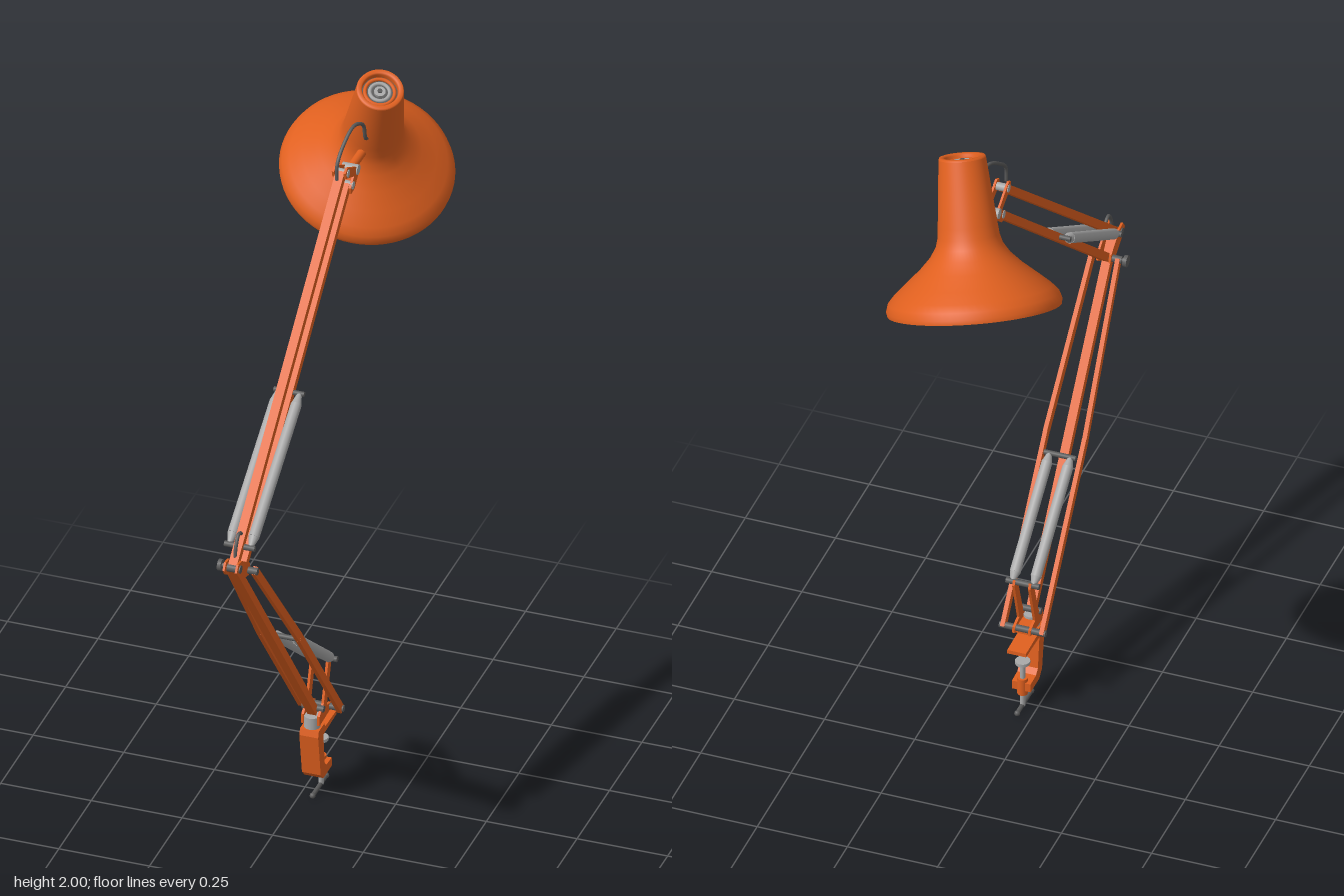
import * as THREE from 'three';

const V = (x, y, z) => new THREE.Vector3(x, y, z);

export function createModel() {
  const root = new THREE.Group();
  root.name = 'deskLamp';
  const mat = (name, color, side = THREE.FrontSide) => {
    const m = new THREE.MeshStandardMaterial({ color, side });
    m.name = name;
    return m;
  };
  const orange = mat('orangePaint', 0xe0601f);
  const shell = mat('orangeShade', 0xe0601f, THREE.DoubleSide);
  const lining = mat('paleLining', 0xc8c8c8, THREE.DoubleSide);
  const steel = mat('steel', 0xa9a9a9);
  const dark = mat('darkMetal', 0x5a5a5a);

  // Everything on the arm lies around the plane x = 0.037
  const stand = new THREE.Group();
  stand.name = 'stand';
  stand.position.x = 0.037;
  root.add(stand);

  const add = (name, geo, m, parent = stand) => {
    const mesh = new THREE.Mesh(geo, m);
    mesh.name = name;
    parent.add(mesh);
    return mesh;
  };
  // Square bar between two points
  const bar = (name, a, b, w, h, m = orange) => {
    const mesh = add(name, new THREE.BoxGeometry(w, h, a.distanceTo(b)), m);
    mesh.position.copy(a).lerp(b, 0.5);
    mesh.quaternion.setFromRotationMatrix(
      new THREE.Matrix4().lookAt(b, a, V(0, 1, 0)));
    return mesh;
  };
  // Round rod between two points
  const rod = (name, a, b, r, m = steel, r2 = r) => {
    const mesh = add(name, new THREE.CylinderGeometry(r2, r, a.distanceTo(b), 16), m);
    mesh.position.copy(a).lerp(b, 0.5);
    mesh.quaternion.setFromUnitVectors(V(0, 1, 0), b.clone().sub(a).normalize());
    return mesh;
  };
  // Pin running across the arm
  const pin = (name, y, z, half, r, m = steel) =>
    rod(name, V(-half, y, z), V(half, y, z), r, m);
  // Plate with its outline given as [z, y], extruded across x
  const plate = (name, pts, width, x = 0, m = orange) => {
    const s = new THREE.Shape(pts.map(p => new THREE.Vector2(p[0], p[1])));
    const g = new THREE.ExtrudeGeometry(s, { depth: width, bevelEnabled: false });
    g.translate(0, 0, -width / 2);
    g.rotateY(-Math.PI / 2);
    g.translate(x, 0, 0);
    return add(name, g, m);
  };
  const wire = (name, pts, r, m = dark) => add(name,
    new THREE.TubeGeometry(new THREE.CatmullRomCurve3(pts), 32, r, 8), m);

  // Table clamp
  plate('clampBody', [
    [0.075, 0.21], [0.055, 0.085], [0.035, 0.065], [-0.03, 0.065], [-0.03, 0.09],
    [0.01, 0.092], [0.024, 0.105], [0.035, 0.198], [-0.065, 0.202], [-0.065, 0.213],
    [0.02, 0.215], [0.028, 0.228], [0.07, 0.228]], 0.052);
  rod('clampScrew', V(0, 0.01, -0.02), V(0, 0.15, -0.02), 0.007);
  rod('clampPad', V(0, 0.146, -0.02), V(0, 0.155, -0.02), 0.02);
  rod('clampNut', V(0, 0.05, -0.02), V(0, 0.1, -0.02), 0.014, orange);
  rod('clampHandle', V(0, 0.012, 0.045), V(0, 0.012, -0.06), 0.006, dark);
  for (const z of [0.045, -0.06])
    add('handleKnob', new THREE.SphereGeometry(0.008, 12, 8), dark).position.set(0, 0.012, z);

  // Swivel collar and base bracket
  rod('swivelCollar', V(0, 0.222, 0.048), V(0, 0.262, 0.048), 0.022);
  for (const s of [-1, 1]) {
    plate('baseBracket', [
      [0.062, 0.24], [0.062, 0.268], [0.03, 0.29], [-0.008, 0.405], [-0.024, 0.41],
      [-0.03, 0.396], [0.006, 0.272], [-0.028, 0.262], [-0.03, 0.245]], 0.007, s * 0.022);
  }
  plate('bracketBase', [[0.06, 0.242], [0.06, 0.254], [-0.025, 0.256], [-0.025, 0.244]], 0.044);
  pin('basePin', 0.255, -0.018, 0.064, 0.009, dark);
  pin('innerBasePin', 0.28, 0.04, 0.03, 0.009, dark);
  pin('lowerSpringPin', 0.402, -0.018, 0.046, 0.008, dark);

  // Lower arm: one centre bar and two bowed outer bars
  bar('lowerCentreBar', V(0, 0.27, 0.042), V(0, 1.07, 0.655), 0.024, 0.022);
  for (const s of [-1, 1]) {
    const foot = V(s * 0.054, 0.25, -0.02);
    const bend = V(s * 0.054, 0.66, 0.301);
    const head = V(s * 0.036, 1.035, 0.595);
    bar('lowerOuterBar', foot, bend, 0.012, 0.023);
    bar('lowerOuterBar', bend, head, 0.012, 0.023);
  }

  // Elbow
  for (const s of [-1, 1])
    plate('elbowPlate', [
      [0.685, 1.075], [0.672, 1.094], [0.645, 1.09], [0.585, 1.05],
      [0.578, 1.028], [0.592, 1.016], [0.612, 1.022], [0.67, 1.056]], 0.006, s * 0.017);
  pin('elbowPin', 1.073, 0.66, 0.023, 0.011, dark);
  pin('elbowLowerPin', 1.033, 0.595, 0.046, 0.01, dark);
  rod('elbowKnobStem', V(-0.04, 1.033, 0.595), V(-0.056, 1.033, 0.595), 0.006, dark);
  rod('elbowKnob', V(-0.052, 1.033, 0.595), V(-0.062, 1.033, 0.595), 0.016, dark);
  wire('elbowCable', [V(0, 1.08, 0.645), V(0, 1.125, 0.635), V(0, 1.15, 0.615),
    V(0, 1.14, 0.595), V(0, 1.11, 0.59)], 0.005);

  // Upper arm
  bar('upperTopBar', V(0, 1.075, 0.655), V(0, 1.793, -0.175), 0.024, 0.022);
  bar('upperBottomBar', V(0, 1.03, 0.597), V(0, 1.735, -0.212), 0.024, 0.022);

  // Paired springs with hooks, held by cross pins
  const springs = (name, a, b) => {
    for (const s of [-1, 1]) {
      const p = a.clone().setX(s * 0.029), q = b.clone().setX(s * 0.029);
      const at = t => p.clone().lerp(q, t);
      rod(name, at(0.07), at(0.93), 0.0145);
      rod(name + 'Hook', p, at(0.075), 0.006, steel, 0.0145);
      rod(name + 'Hook', at(0.925), q, 0.0145, steel, 0.006);
    }
  };
  springs('lowerSpring', V(0, 0.402, -0.018), V(0, 0.625, 0.258));
  springs('upperSpring', V(0, 1.108, 0.605), V(0, 1.357, 0.225));
  pin('lowerSpringTopPin', 0.625, 0.258, 0.044, 0.007, dark);
  pin('upperSpringLowPin', 1.108, 0.605, 0.042, 0.008, dark);
  pin('upperSpringTopPin', 1.357, 0.225, 0.042, 0.007, dark);

  // Head bracket joining both upper bars to the shade
  for (const s of [-1, 1])
    plate('headBracket', [
      [-0.155, 1.803], [-0.172, 1.812], [-0.195, 1.8], [-0.245, 1.772], [-0.262, 1.752],
      [-0.225, 1.718], [-0.2, 1.715], [-0.195, 1.735], [-0.222, 1.757], [-0.16, 1.785]],
      0.006, s * 0.016);
  pin('headTopPin', 1.793, -0.175, 0.021, 0.011);
  pin('headLowPin', 1.735, -0.212, 0.021, 0.011);
  pin('shadePivot', 1.762, -0.248, 0.022, 0.014);
  rod('shadeStem', V(0, 1.762, -0.245), V(0.006, 1.77, -0.36), 0.012, orange);
  wire('headCable', [V(0, 1.79, -0.14), V(0, 1.835, -0.145), V(0.003, 1.87, -0.18),
    V(0.014, 1.903, -0.235), V(0.026, 1.89, -0.268), V(0.026, 1.835, -0.29),
    V(0.022, 1.82, -0.33)], 0.005);

  // Shade, tilted about its own axis
  const shade = new THREE.Group();
  shade.name = 'shade';
  shade.position.set(0, 1.615, -0.475);
  shade.quaternion.setFromUnitVectors(V(0, 1, 0), V(0.095, 0.365, 0.16).normalize());
  root.add(shade);
  const lathe = (name, pts, m) => add(name,
    new THREE.LatheGeometry(pts.map(p => new THREE.Vector2(p[0], p[1])), 64), m, shade);
  const wall = [[0.228, 0], [0.23, 0.012], [0.224, 0.031], [0.207, 0.05], [0.176, 0.077],
    [0.135, 0.112], [0.105, 0.143], [0.088, 0.17], [0.081, 0.195], [0.078, 0.225], [0.062, 0.4]];
  lathe('shadeShell', wall, shell);
  lathe('shadeLining', wall.slice(0, 10).map(([r, y]) => [r - 0.006, y]).reverse(), lining);
  lathe('shadeRim', [[0.222, 0], [0.228, 0]], shell);

  // Vented cap at the top of the shade
  lathe('capLip', [[0.062, 0.4], [0.06, 0.405], [0.05, 0.405], [0.047, 0.4], [0.047, 0.385]], shell);
  const disc = (name, r, y, h, m) =>
    add(name, new THREE.CylinderGeometry(r, r, h, 32), m, shade).position.set(0, y, 0);
  disc('capFloor', 0.05, 0.384, 0.006, dark);
  const ring = (name, r, t, y, m) => {
    const mesh = add(name, new THREE.TorusGeometry(r, t, 8, 40), m, shade);
    mesh.rotation.x = Math.PI / 2;
    mesh.position.y = y;
  };
  ring('ventRing', 0.039, 0.005, 0.39, orange);
  ring('ventRing', 0.026, 0.005, 0.39, steel);
  disc('capCentre', 0.015, 0.389, 0.012, steel);
  disc('capScrew', 0.006, 0.396, 0.006, dark);

  // Bulb and socket
  disc('bulbSocket', 0.032, 0.22, 0.1, lining);
  const bulb = add('bulb', new THREE.SphereGeometry(0.066, 32, 24), lining, shade);
  bulb.position.y = 0.115;

  return root;
}
